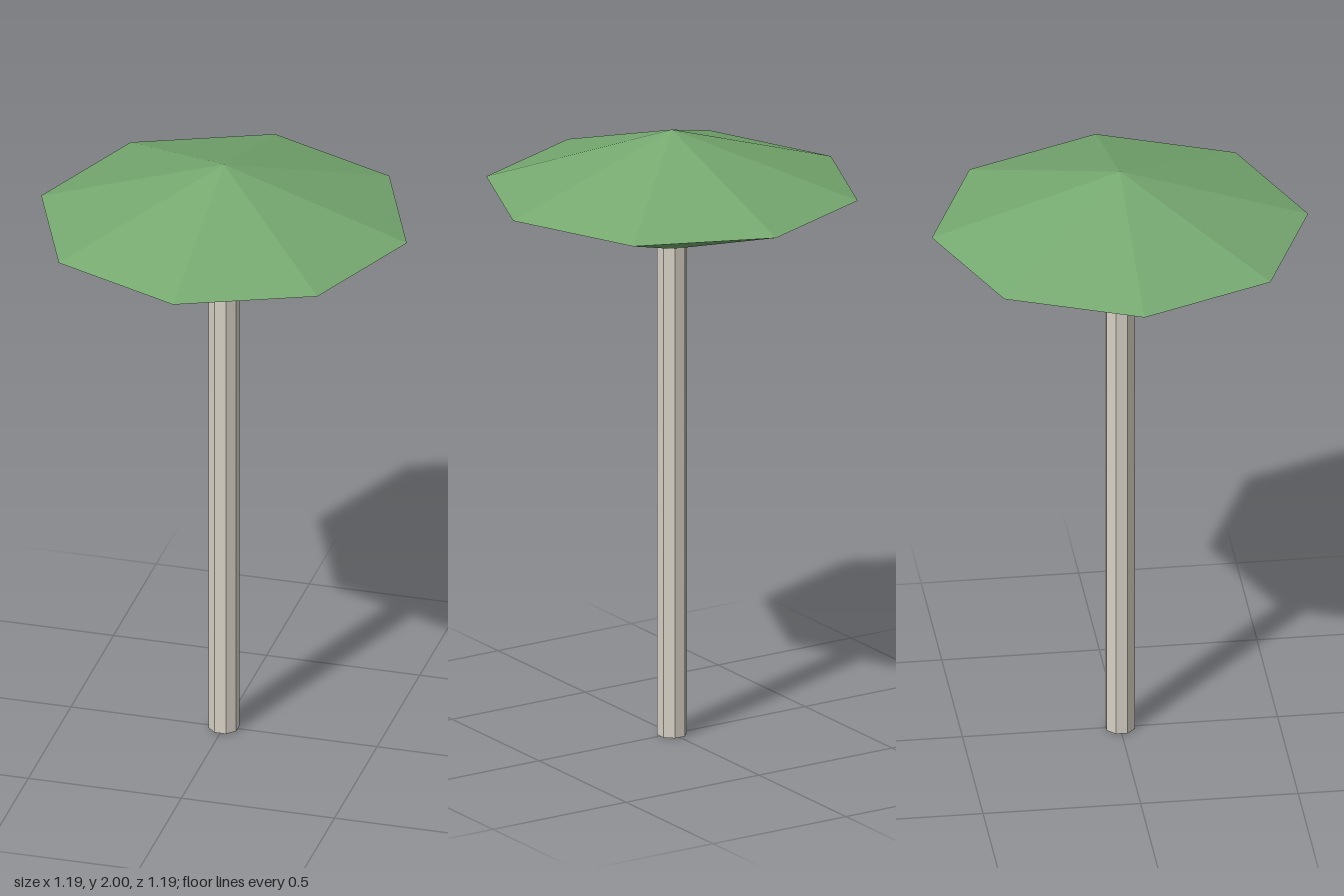
import * as THREE from 'three';

const SIDES = 8;

export function createModel() {
  const green = new THREE.MeshStandardMaterial({ color: 0x76a970, flatShading: true });
  green.name = 'canopyGreen';
  const ivory = new THREE.MeshStandardMaterial({ color: 0xd6d0c4, flatShading: true, side: THREE.DoubleSide });
  ivory.name = 'poleIvory';

  const group = new THREE.Group();
  group.name = 'parasol';

  const addTube = (name, material, topRadius, bottomRadius, y0, y1, turn = 0) => {
    const geometry = new THREE.CylinderGeometry(topRadius, bottomRadius, y1 - y0, SIDES, 1, true);
    geometry.rotateY(turn).translate(0, (y0 + y1) / 2, 0);
    const mesh = new THREE.Mesh(geometry, material);
    mesh.name = name;
    group.add(mesh);
  };

  // Eight-sided canopy: pointed top and a tapered underside meeting the pole
  addTube('canopyTop', green, 0, 0.597, 1.805, 2);
  addTube('canopyUnderside', green, 0.597, 0.045, 1.62, 1.805);

  // Hollow octagonal pole with a flat side to the front
  addTube('pole', ivory, 0.0487, 0.0487, 0, 1.625, Math.PI / SIDES);

  return group;
}
